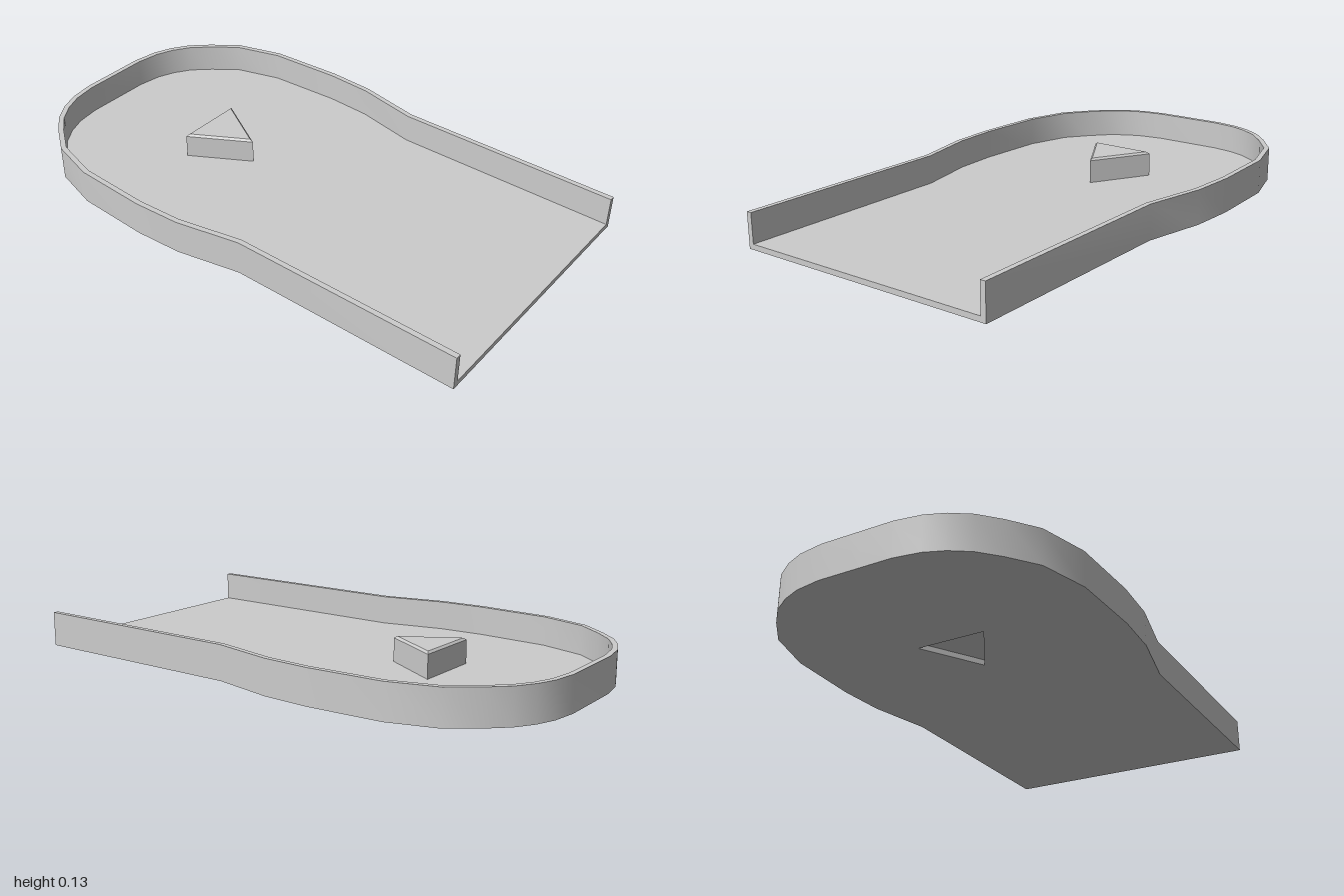
import * as THREE from 'three';
import { toCreasedNormals } from 'three/addons/utils/BufferGeometryUtils.js';

const WALL = 0.02, FLOOR = 0.02, HEIGHT = 0.13;
const MARK_Z = -0.385, MARK_R = 0.15;

// Half outline (x, -z) from the open front end round to the back
const half = [
  [0.51, -1], [0.51, -0.14], [0.56, 0.1], [0.57, 0.28], [0.557, 0.565], [0.505, 0.745],
  [0.43, 0.845], [0.367, 0.913], [0.3, 0.957], [0.23, 0.985], [0.135, 1],
].map(([x, y]) => new THREE.Vector2(x, y));

const mirror = (pts) => pts.map((p) => new THREE.Vector2(-p.x, p.y)).reverse();

// Mitred inward offset of an open path
function inset(path, d) {
  const normal = (a, b) => new THREE.Vector2(a.y - b.y, b.x - a.x).normalize();
  return path.map((p, i) => {
    const n1 = normal(path[Math.max(i - 1, 0)], path[Math.max(i, 1)]);
    const last = path.length - 1;
    const n2 = normal(path[Math.min(i, last - 1)], path[Math.min(i + 1, last)]);
    const m = n1.clone().add(n2).normalize();
    return p.clone().addScaledVector(m, d / m.dot(n1));
  });
}

// Upright extrusion standing on y = 0
function slab(shape, depth) {
  const g = new THREE.ExtrudeGeometry(shape, { depth, bevelEnabled: false });
  g.rotateX(-Math.PI / 2);
  return toCreasedNormals(g, Math.PI / 6);
}

export function createModel() {
  const group = new THREE.Group();
  const material = new THREE.MeshStandardMaterial({ color: 0xcccccc });
  const add = (name, geometry, mat = material) => {
    const mesh = new THREE.Mesh(geometry, mat);
    mesh.name = name;
    group.add(mesh);
    return mesh;
  };

  const outer = [...half, ...mirror(half)];
  const inner = inset(outer, WALL);

  // Raised wall around the tray, open at the front
  add('rimWall', slab(new THREE.Shape([...outer, ...inner.slice().reverse()]), HEIGHT));

  // Floor with a triangular recess beneath the marker
  const floor = new THREE.Shape(inner);
  const corners = [0, 1, 2].map((i) => {
    const a = (i * 2 * Math.PI) / 3;
    return new THREE.Vector2(MARK_R * Math.sin(a), -MARK_Z - MARK_R * Math.cos(a));
  });
  floor.holes.push(new THREE.Path(corners));
  add('floor', slab(floor, FLOOR));

  // Triangular marker block with a chamfered top
  const profile = [[0, FLOOR], [MARK_R, FLOOR], [MARK_R, 0.108], [0.135, 0.116], [0, 0.116]];
  const flat = new THREE.MeshStandardMaterial({ color: 0xcccccc, flatShading: true });
  const marker = new THREE.LatheGeometry(profile.map(([r, y]) => new THREE.Vector2(r, y)), 3).toNonIndexed();
  marker.computeVertexNormals();
  add('triangleMarker', marker, flat).position.z = MARK_Z;

  return group;
}
